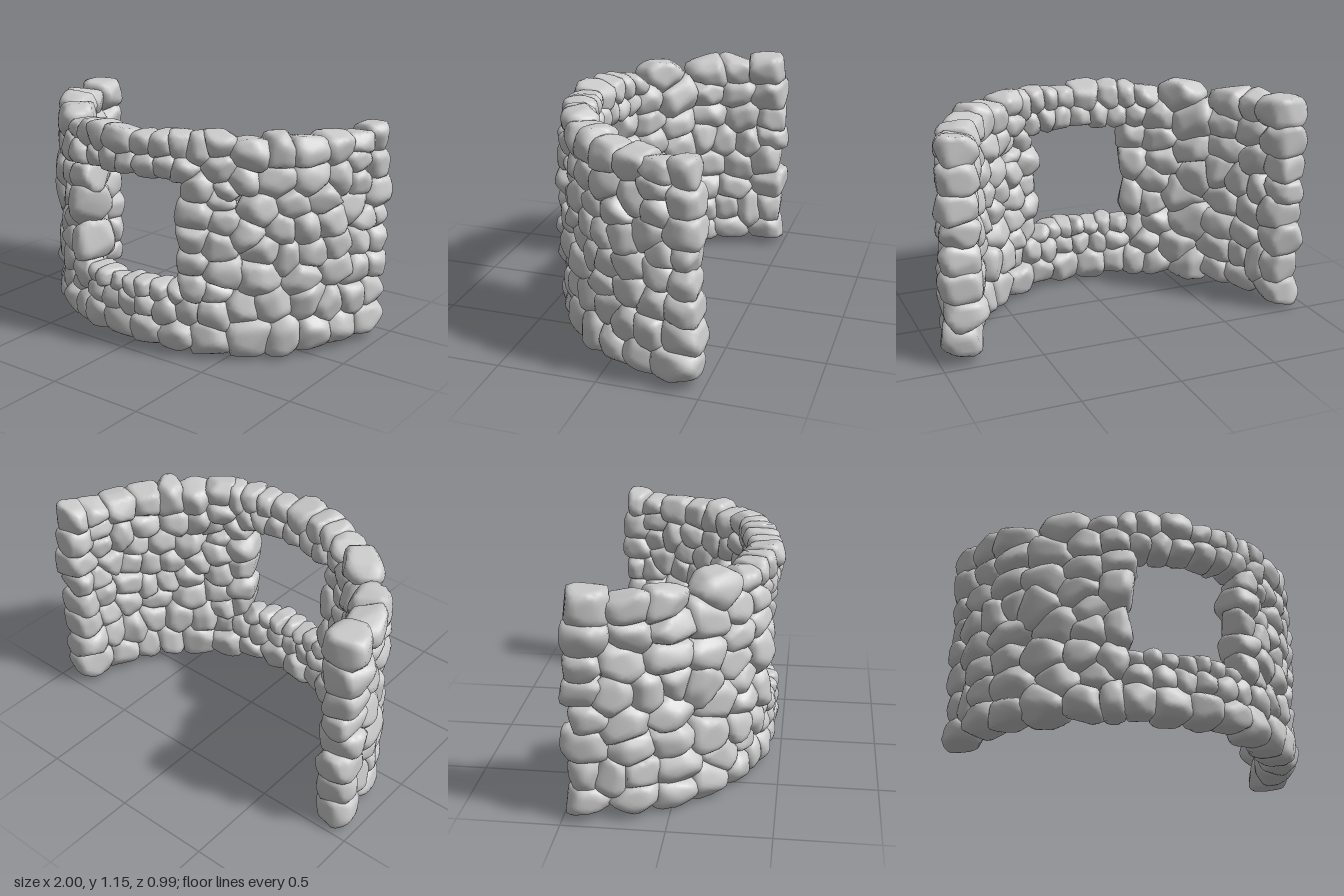
import * as THREE from 'three';
import { mergeVertices } from 'three/addons/utils/BufferGeometryUtils.js';

// The wall is laid out flat (s along the wall, y up, w through its thickness), then bent round an arc.
const R = 0.88, CENTRE_Z = -0.5, S_END = 1.355, HALF_DEPTH = 0.106, FACE_R = 0.96;
const WINDOW = { half: 0.262, bottom: 0.352, top: 0.885 };

let seed = 11;
function rand(a = 0, b = 1) {
  seed = (seed * 1664525 + 1013904223) % 4294967296;
  return a + (b - a) * seed / 4294967296;
}

// Stone centres [s, y] round the window
const FRAME_STONES = {
  lintel: [
    [-0.3, 1.05], [-0.195, 1.05], [-0.06, 1.06], [0.085, 1.06], [0.175, 1.06], [0.265, 1.07], [0.35, 1.06],
    [-0.24, 0.94], [-0.13, 0.955], [-0.02, 0.935], [0.1, 0.96], [0.2, 0.97], [0.29, 0.94]],
  jambs: [
    [-0.325, 0.455], [-0.325, 0.67], [-0.33, 0.83], [-0.34, 0.94], [-0.34, 0.29],
    [0.34, 0.36], [0.335, 0.5], [0.335, 0.61], [0.355, 0.745], [0.36, 0.88], [0.43, 0.24]],
  sill: [
    [-0.25, 0.31], [-0.16, 0.31], [-0.085, 0.315], [0.0, 0.305], [0.075, 0.315], [0.16, 0.32], [0.25, 0.33],
    [-0.23, 0.23], [-0.12, 0.235], [-0.02, 0.24], [0.09, 0.235], [0.2, 0.23], [0.31, 0.24],
    [-0.36, 0.1], [-0.24, 0.11], [-0.08, 0.1], [0.1, 0.11], [0.26, 0.1], [0.4, 0.1]],
};
// Left wall stone centres [z, y], course by course from the top
const LEFT_STONES = [
  [0.25, 1.045], [0.145, 1.035], [0.04, 1.035], [-0.115, 1.06], [-0.27, 1.06], [-0.4, 1.06],
  [0.28, 0.91], [0.155, 0.91], [0.02, 0.91], [-0.14, 0.89], [-0.25, 0.95], [-0.25, 0.87], [-0.4, 0.92],
  [0.33, 0.81], [0.215, 0.75], [0.095, 0.79], [-0.04, 0.81], [-0.21, 0.73], [-0.4, 0.785],
  [0.25, 0.65], [0.14, 0.67], [0.04, 0.67], [-0.08, 0.69], [-0.29, 0.65], [-0.41, 0.66],
  [0.2, 0.56], [0.11, 0.53], [0.02, 0.53], [-0.11, 0.555], [-0.265, 0.555], [-0.41, 0.53],
  [0.22, 0.44], [0.05, 0.41], [-0.13, 0.44], [-0.24, 0.4], [-0.4, 0.395],
  [0.27, 0.26], [0.165, 0.28], [0.03, 0.3], [-0.09, 0.25], [-0.23, 0.27], [-0.36, 0.265],
  [0.24, 0.12], [0.11, 0.11], [0, 0.1], [-0.17, 0.1], [-0.34, 0.1]];
// Stone centres [x, y] between the window and the side walls
const FRONT_STONES = [
  [0.46, 1.08], [0.47, 0.97], [0.5, 0.86], [0.49, 0.71], [0.46, 0.58], [0.48, 0.44], [0.45, 0.34],
  [-0.41, 1.06], [-0.6, 1.06], [-0.5, 0.92], [-0.66, 0.91], [-0.5, 0.81], [-0.68, 0.77],
  [-0.52, 0.68], [-0.7, 0.63], [-0.48, 0.57], [-0.61, 0.49], [-0.47, 0.44], [-0.66, 0.34],
  [-0.5, 0.32], [-0.61, 0.2], [-0.44, 0.22], [-0.48, 0.09], [-0.67, 0.09]];

function layOutStones() {
  const stones = [];
  for (const [part, list] of Object.entries(FRAME_STONES)) {
    for (const [s, y] of list) stones.push({ part, s, y });
  }
  for (const [z, y] of LEFT_STONES) {
    stones.push({ part: 'leftWall', s: R * Math.acos((z - CENTRE_Z) / FACE_R), y });
  }
  for (const [x, y] of FRONT_STONES) {
    stones.push({ part: x > 0 ? 'leftWall' : 'rightWall', s: R * Math.asin(x / FACE_R), y });
  }
  // Rough courses along the rest of the right wall
  for (let row = 0; row < 8; row++) {
    const n = 3 + Math.floor(rand(0, 2));
    const start = 0.79 + (row % 2) * 0.03;
    const step = (S_END - start) / n;
    for (let i = 0; i < n; i++) {
      const s = -(start + (i + 0.5 + rand(-0.2, 0.2)) * step);
      stones.push({ part: 'rightWall', s, y: 0.09 + row * 0.138 + rand(-0.025, 0.025) });
    }
  }
  return stones;
}

// Flat faces bounding one stone: [nx, ny, nz, distance from its centre]
function stonePlanes(stone, all) {
  const planes = [];
  const add = (x, y, z, h) => {
    const l = Math.hypot(x, y, z);
    planes.push([x / l, y / l, z / l, Math.max(h, 0.025)]);
  };
  // joints halfway to each neighbour, with a slight overlap
  let nearest = 1;
  for (const other of all) {
    const ds = other.s - stone.s, dy = other.y - stone.y, d = Math.hypot(ds, dy);
    if (other === stone || d > 0.45) continue;
    nearest = Math.min(nearest, d);
    add(ds / d, dy / d, rand(-0.25, 0.25), d * 0.5 * 1.16);
  }
  // outer edges of the wall
  add(rand(-0.12, 0.12), -1, rand(-0.2, 0.2), stone.y - rand(0.005, 0.03));
  add(rand(-0.12, 0.12), 1, rand(-0.2, 0.2), rand(1.1, 1.145) - stone.y);
  const side = Math.sign(stone.s) || 1;
  add(side, rand(-0.15, 0.15), rand(-0.2, 0.2), S_END + rand(-0.015, 0.02) - Math.abs(stone.s));
  // edges of the window
  if (Math.abs(stone.s) < 0.3) {
    if (stone.y < 0.5) add(rand(-0.15, 0.15), 1, rand(-0.2, 0.2), WINDOW.bottom + rand(-0.01, 0.015) - stone.y);
    else add(rand(-0.15, 0.15), -1, rand(-0.2, 0.2), stone.y - WINDOW.top + rand(-0.01, 0.015));
  } else if (stone.y > 0.33 && stone.y < 0.93 && Math.abs(stone.s) < 0.6) {
    add(-side, rand(-0.2, 0.2), rand(-0.2, 0.2), Math.abs(stone.s) - WINDOW.half + rand(-0.012, 0.012));
  }
  const joints = planes.slice();
  const reach = (c, s) => Math.min(0.16, 1 / Math.max(...joints.map(p => (c * p[0] + s * p[1]) / p[3])));
  const spin = rand(0, Math.PI * 2);
  // corners knocked off all round
  for (let i = 0; i < 7; i++) {
    const a = spin + (i + rand(-0.3, 0.3)) * Math.PI * 2 / 7;
    const c = Math.cos(a), s = Math.sin(a);
    add(c, s, rand(-0.3, 0.3), reach(c, s) * rand(1.02, 1.1));
  }
  // inner and outer faces with chipped rims; small stones are shallower
  const size = Math.min(1, 0.7 + nearest * 2.4);
  for (const face of [-1, 1]) {
    const depth = HALF_DEPTH * size + rand(-0.016, 0.008);
    add(rand(-0.3, 0.3), rand(-0.3, 0.3), face, depth);
    const turn = rand(0, Math.PI * 2);
    for (let i = 0; i < 6; i++) {
      const a = turn + (i + rand(-0.3, 0.3)) * Math.PI / 3;
      const c = Math.cos(a), s = Math.sin(a), tilt = rand(0.6, 1.7);
      add(c, s, face * tilt, (reach(c, s) + depth * tilt) / Math.hypot(1, tilt) * rand(0.72, 0.89));
    }
  }
  return planes;
}

const ball = new THREE.IcosahedronGeometry(1, 5);
ball.deleteAttribute('normal');
ball.deleteAttribute('uv');
const unitBall = mergeVertices(ball, 1e-4);

// A ball pressed softly against the stone's planes, then bent onto the arc
function stoneGeometry(stone, all) {
  const planes = stonePlanes(stone, all);
  const geometry = unitBall.clone();
  const pos = geometry.attributes.position;
  const v = new THREE.Vector3();
  const sharpness = 26;
  // the window's side stones stand a little proud
  const shift = rand(-0.008, 0.008) + (stone.part === 'jambs' ? 0.018 : 0);
  for (let i = 0; i < pos.count; i++) {
    v.fromBufferAttribute(pos, i).normalize();
    let sum = 0;
    for (const [x, y, z, h] of planes) {
      sum += Math.max(0, (v.x * x + v.y * y + v.z * z) / h / 10) ** sharpness;
    }
    v.multiplyScalar(sum ** (-1 / sharpness) / 10);
    const angle = (stone.s + v.x) / R, radius = R + v.z + shift;
    pos.setXYZ(i, radius * Math.sin(angle), stone.y + v.y, CENTRE_Z + radius * Math.cos(angle));
  }
  geometry.computeVertexNormals();
  return geometry;
}

export function createModel() {
  const model = new THREE.Group();
  model.name = 'curvedStoneWall';
  const material = new THREE.MeshStandardMaterial({ color: 0xcccccc });
  const parts = {};
  for (const name of ['leftWall', 'rightWall', 'lintel', 'jambs', 'sill']) {
    parts[name] = new THREE.Group();
    parts[name].name = name;
    model.add(parts[name]);
  }
  const stones = layOutStones();
  for (const stone of stones) {
    const mesh = new THREE.Mesh(stoneGeometry(stone, stones), material);
    mesh.name = 'stone';
    parts[stone.part].add(mesh);
  }
  return model;
}
